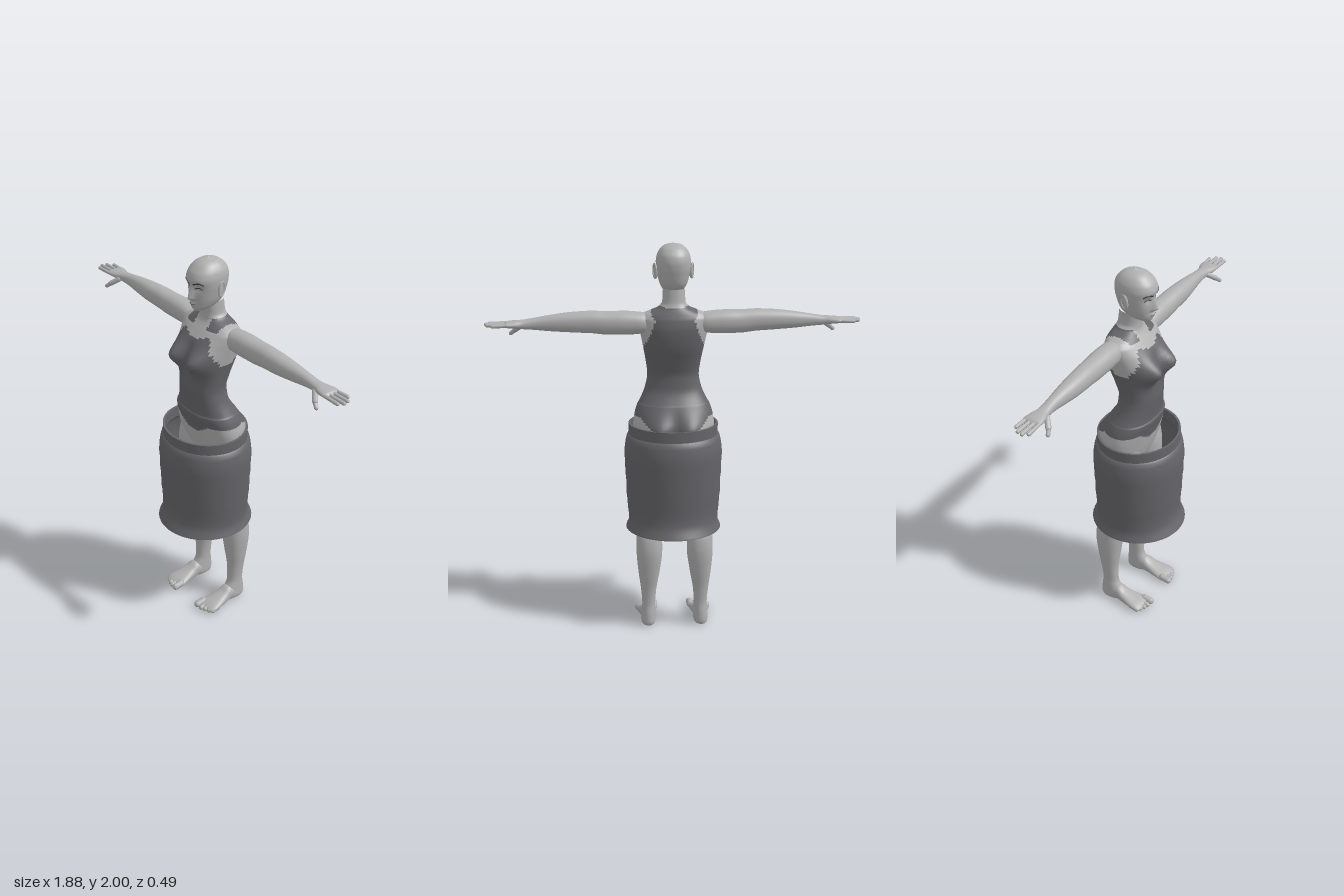
import * as THREE from 'three';
import { toCreasedNormals } from 'three/addons/utils/BufferGeometryUtils.js';

const skin = new THREE.MeshStandardMaterial({ color: 0xb0b0b0 });
skin.name = 'skin grey';
const cloth = new THREE.MeshStandardMaterial({ color: 0x66666a });
cloth.name = 'cloth grey';
const skirtCloth = new THREE.MeshStandardMaterial({ color: 0x66666a, side: THREE.DoubleSide });
skirtCloth.name = 'skirt grey';
const dark = new THREE.MeshStandardMaterial({ color: 0x39393b });
dark.name = 'brow grey';

const bump = (d2, sigma) => Math.exp(-d2 / (2 * sigma * sigma));
const spow = (v, p) => Math.sign(v) * Math.abs(v) ** p;

// Smooth surface through cross-sections [height, centre x, half width, front z, back z]
function surface(rows, warp) {
  const slope = (i, c) => (rows[i + 1][c] - rows[i][c]) / (rows[i + 1][0] - rows[i][0]);
  const tangent = (i, c) => {
    if (i === 0) return slope(0, c);
    if (i === rows.length - 1) return slope(i - 1, c);
    const a = slope(i - 1, c), b = slope(i, c);
    return a * b <= 0 ? 0 : (2 * a * b) / (a + b);
  };
  return (s, t) => {
    let i = 0;
    while (i < rows.length - 2 && s > rows[i + 1][0]) i++;
    const h = rows[i + 1][0] - rows[i][0], u = (s - rows[i][0]) / h;
    const [cx, rx, zf, zb] = [1, 2, 3, 4].map((c) =>
      (1 + 2 * u) * (1 - u) ** 2 * rows[i][c] + u * (1 - u) ** 2 * h * tangent(i, c) +
      u * u * (3 - 2 * u) * rows[i + 1][c] + u * u * (u - 1) * h * tangent(i + 1, c));
    const p = new THREE.Vector3(cx + rx * spow(Math.sin(t), 0.9), s,
      (zf + zb) / 2 + ((zf - zb) / 2) * spow(Math.cos(t), 0.9));
    if (warp) warp(p, Math.cos(t));
    return p;
  };
}

// Skin the surface with quads; pick sorts faces into two material groups
function loft(rows, { seg = 28, k = 4, warp, pick } = {}) {
  const at = surface(rows, warp), pts = [], lists = [[], []];
  const n = (rows.length - 1) * k;
  for (let r = 0; r <= n; r++) {
    const i = Math.min(Math.floor(r / k), rows.length - 2);
    const s = rows[i][0] + (rows[i + 1][0] - rows[i][0]) * (r / k - i);
    for (let j = 0; j < seg; j++) pts.push(at(s, (j / seg) * Math.PI * 2));
  }
  for (let r = 0; r < n; r++) for (let j = 0; j < seg; j++) {
    const a = r * seg + j, b = r * seg + (j + 1) % seg, c = b + seg, d = a + seg;
    const mid = pts[a].clone().add(pts[c]).multiplyScalar(0.5);
    lists[pick && pick(mid) ? 1 : 0].push(a, b, c, a, c, d);
  }
  const g = new THREE.BufferGeometry().setFromPoints(pts);
  g.setIndex([...lists[0], ...lists[1]]);
  if (pick) {
    g.addGroup(0, lists[0].length, 0);
    g.addGroup(lists[0].length, lists[1].length, 1);
  }
  g.computeVertexNormals();
  return g;
}

// Rounded rod between two points
function rod(a, b, r) {
  const A = new THREE.Vector3(...a), B = new THREE.Vector3(...b), d = B.clone().sub(A);
  const g = new THREE.CapsuleGeometry(r, d.length(), 5, 10);
  g.applyQuaternion(new THREE.Quaternion().setFromUnitVectors(new THREE.Vector3(0, 1, 0), d.normalize()));
  return g.translate(...A.add(B).multiplyScalar(0.5).toArray());
}

function mirrorX(g) {
  const m = g.clone().scale(-1, 1, 1), ix = m.index.array;
  for (let i = 0; i < ix.length; i += 3) [ix[i], ix[i + 1]] = [ix[i + 1], ix[i]];
  m.computeVertexNormals();
  return m;
}

// Face relief: eye sockets, nose, lips
function faceRelief(p, c) {
  if (c < 0.2) return;
  const x = Math.abs(p.x), y = p.y;
  const nose = y > 1.815 ? Math.max(0, (1.89 - y) / 0.075) : Math.max(0, (y - 1.8) / 0.015);
  p.z += 0.028 * nose * bump(x * x, 0.009 + 0.004 * nose);
  p.z -= 0.009 * bump((x - 0.036) ** 2 + (y - 1.872) ** 2, 0.014);
  p.z += 0.008 * bump((x / 2) ** 2 + (y - 1.783) ** 2, 0.008);
}

// Bust and seat
function bodyRelief(p, c) {
  const x = Math.abs(p.x);
  if (c > 0) p.z += 0.08 * Math.min(1, c * 3) * bump((x - 0.077) ** 2 + (p.y - 1.5) ** 2, 0.043);
  else p.z -= 0.055 * Math.min(1, -c * 3) * bump((x - 0.08) ** 2 + (p.y - 1.06) ** 2, 0.055);
}

// Where the bodice, shoulder straps and briefs cover the torso
function isCloth(p) {
  const x = Math.abs(p.x), y = p.y;
  if (y < 1.19) {
    if (p.z > 0) return y > 1.075 + Math.min(0.06, Math.max(0, x - 0.03) * 0.65);
    return y > 1.03 + Math.min(0.1, Math.max(0, x - 0.06) * 0.85);
  }
  if (y < 1.485) return true;
  if (y > 1.645 && y < 1.695 && x > 0.05 && x < 0.115) return true;
  if (p.z < -0.05) return y < 1.69 && x < 0.1 + Math.max(0, 1.62 - y) * 0.4;
  if (x < 0.09) return y < 1.592 + x * 0.35;
  return p.z > 0.03 && y < 1.625 - (x - 0.09) * 1.9;
}

export function createModel() {
  const model = new THREE.Group();
  const add = (name, g, mat, parent = model) => {
    const m = new THREE.Mesh(g, mat);
    m.name = name;
    parent.add(m);
  };
  const addPair = (name, g, mat) => {
    add('left ' + name, g, mat);
    add('right ' + name, mirrorX(g), mat);
  };

  // Torso and neck
  add('torso', loft([
    [0.92, 0, 0.01, -0.03, -0.05], [0.93, 0, 0.14, 0.03, -0.11], [1.0, 0, 0.2, 0.06, -0.14],
    [1.08, 0, 0.207, 0.08, -0.145], [1.13, 0, 0.2, 0.092, -0.14], [1.185, 0, 0.182, 0.105, -0.125],
    [1.195, 0, 0.175, 0.1, -0.118], [1.27, 0, 0.142, 0.108, -0.087], [1.33, 0, 0.131, 0.115, -0.085],
    [1.4, 0, 0.139, 0.113, -0.105], [1.5, 0, 0.157, 0.1, -0.14], [1.58, 0, 0.172, 0.082, -0.15],
    [1.63, 0, 0.178, 0.05, -0.142], [1.655, 0, 0.155, 0.03, -0.132], [1.672, 0, 0.115, 0.018, -0.124],
    [1.69, 0, 0.075, 0.012, -0.115], [1.715, 0, 0.058, 0.012, -0.107], [1.78, 0, 0.054, 0.02, -0.1],
  ], { seg: 72, k: 5, warp: bodyRelief, pick: isCloth }), [skin, cloth]);

  // Head
  const headRows = [
    [1.738, 0, 0.01, 0.055, 0.03], [1.748, 0, 0.03, 0.07, -0.02], [1.765, 0, 0.05, 0.076, -0.06],
    [1.785, 0, 0.062, 0.078, -0.085], [1.81, 0, 0.072, 0.08, -0.1], [1.85, 0, 0.081, 0.083, -0.112],
    [1.88, 0, 0.086, 0.086, -0.119], [1.91, 0, 0.087, 0.094, -0.122], [1.94, 0, 0.082, 0.085, -0.117],
    [1.97, 0, 0.066, 0.06, -0.096], [1.99, 0, 0.041, 0.03, -0.066], [2.0, 0, 0.002, -0.014, -0.022],
  ];
  add('head', loft(headRows, { seg: 96, k: 6, warp: faceRelief }), skin);

  // Brows, lash lines and mouth line follow the face
  const face = surface(headRows, faceRelief);
  const line = (pts, r) => new THREE.TubeGeometry(
    new THREE.CatmullRomCurve3(pts.map(([y, t]) => face(y, t))), 16, r, 6);
  addPair('brow', line([[1.892, 0.15], [1.902, 0.42], [1.904, 0.6], [1.895, 0.8]], 0.0035), dark);
  addPair('lash line', line([[1.868, 0.2], [1.876, 0.38], [1.876, 0.5], [1.87, 0.66]], 0.003), dark);
  add('mouth line', line([[1.784, -0.28], [1.782, 0], [1.784, 0.28]], 0.0015), dark);

  // Ears
  const ear = new THREE.SphereGeometry(1, 14, 10).scale(0.009, 0.038, 0.022);
  addPair('ear', ear.rotateX(-0.15).rotateY(0.3).translate(0.087, 1.862, -0.025), skin);
  const rim = new THREE.TorusGeometry(0.021, 0.005, 6, 20).scale(1, 1.65, 1);
  addPair('ear rim', rim.rotateY(Math.PI / 2 + 0.3).rotateX(-0.15).translate(0.093, 1.863, -0.027), skin);

  // Arms, lofted upright and laid sideways
  const arm = loft([
    [0.1, -1.61, 0.04, -0.02, -0.1], [0.17, -1.61, 0.054, 0, -0.115], [0.25, -1.611, 0.059, 0, -0.115],
    [0.33, -1.611, 0.058, -0.002, -0.11], [0.42, -1.617, 0.055, -0.002, -0.104],
    [0.5, -1.617, 0.051, -0.004, -0.1], [0.6, -1.615, 0.042, -0.016, -0.093],
    [0.7, -1.612, 0.029, -0.027, -0.086], [0.75, -1.61, 0.023, -0.025, -0.088],
    [0.79, -1.611, 0.019, -0.014, -0.1], [0.83, -1.611, 0.014, -0.01, -0.107],
    [0.848, -1.611, 0.002, -0.04, -0.07],
  ]).rotateZ(-Math.PI / 2);
  addPair('arm', arm, skin);
  [[0.915, -0.018], [0.931, -0.044], [0.924, -0.071], [0.897, -0.098]].forEach(([tip, z], i) =>
    addPair('finger ' + (i + 1), rod([0.82, 1.611, z * 0.9 - 0.004], [tip, 1.609, z], 0.0095), skin));
  addPair('thumb base', rod([0.755, 1.6, -0.03], [0.79, 1.572, 0], 0.014), skin);
  addPair('thumb tip', rod([0.785, 1.574, -0.001], [0.812, 1.552, 0.012], 0.0105), skin);

  // Legs
  addPair('leg', loft([
    [0, 0.138, 0.02, -0.05, -0.125], [0.008, 0.138, 0.034, -0.025, -0.143], [0.03, 0.138, 0.038, -0.02, -0.148],
    [0.07, 0.137, 0.036, -0.03, -0.146], [0.12, 0.136, 0.034, -0.053, -0.14],
    [0.2, 0.136, 0.04, -0.055, -0.146], [0.3, 0.134, 0.055, -0.044, -0.162],
    [0.42, 0.131, 0.067, -0.03, -0.175], [0.5, 0.131, 0.066, -0.024, -0.166],
    [0.56, 0.128, 0.064, -0.005, -0.13], [0.65, 0.125, 0.07, 0.02, -0.125],
    [0.8, 0.118, 0.085, 0.05, -0.14], [0.95, 0.108, 0.093, 0.06, -0.15], [1.06, 0.1, 0.085, 0.045, -0.13],
  ]), skin);

  // Feet, lofted upright and laid forward
  const foot = loft([
    [-0.125, 0.138, 0.02, -0.005, -0.03], [-0.08, 0.138, 0.036, 0, -0.07], [-0.04, 0.139, 0.039, 0, -0.09],
    [0, 0.141, 0.045, 0, -0.068], [0.05, 0.142, 0.055, 0, -0.05], [0.09, 0.141, 0.061, 0, -0.038],
    [0.112, 0.14, 0.055, -0.002, -0.028], [0.122, 0.14, 0.03, -0.008, -0.018],
  ]).rotateX(Math.PI / 2);
  addPair('foot', foot, skin);
  [[0.096, 0.132, 0.018], [0.127, 0.13, 0.013], [0.15, 0.123, 0.0125], [0.172, 0.113, 0.012], [0.191, 0.1, 0.011]]
    .forEach(([x, z, r], i) =>
      addPair('toe ' + (i + 1), rod([x * 0.95 + 0.007, r + 0.008, z - 0.04], [x, r + 0.001, z], r), skin));

  // Barrel skirt: outer wall up, inner wall down, flared hem
  const wall = [
    [0.246, 0.515], [0.243, 0.525], [0.232, 0.545], [0.231, 0.58], [0.236, 0.62], [0.24, 0.68],
    [0.243, 0.7], [0.244, 0.78], [0.248, 0.81], [0.249, 0.88], [0.252, 0.91], [0.25, 0.95],
    [0.244, 0.99], [0.237, 1.015], [0.229, 1.022], [0.229, 1.078],
  ];
  const profile = [...wall, ...wall.map(([r, y]) => [r - 0.012, y]).reverse(), wall[0]];
  const skirt = new THREE.LatheGeometry(profile.map(([r, y]) => new THREE.Vector2(r, y)), 64);
  const pos = skirt.attributes.position;
  for (let i = 0; i < pos.count; i++) {
    const flat = THREE.MathUtils.smoothstep(pos.getY(i), 0.515, 0.62);
    pos.setZ(i, pos.getZ(i) * (1 - 0.085 * flat));
  }
  add('skirt', toCreasedNormals(skirt, 0.6), skirtCloth);

  return model;
}
